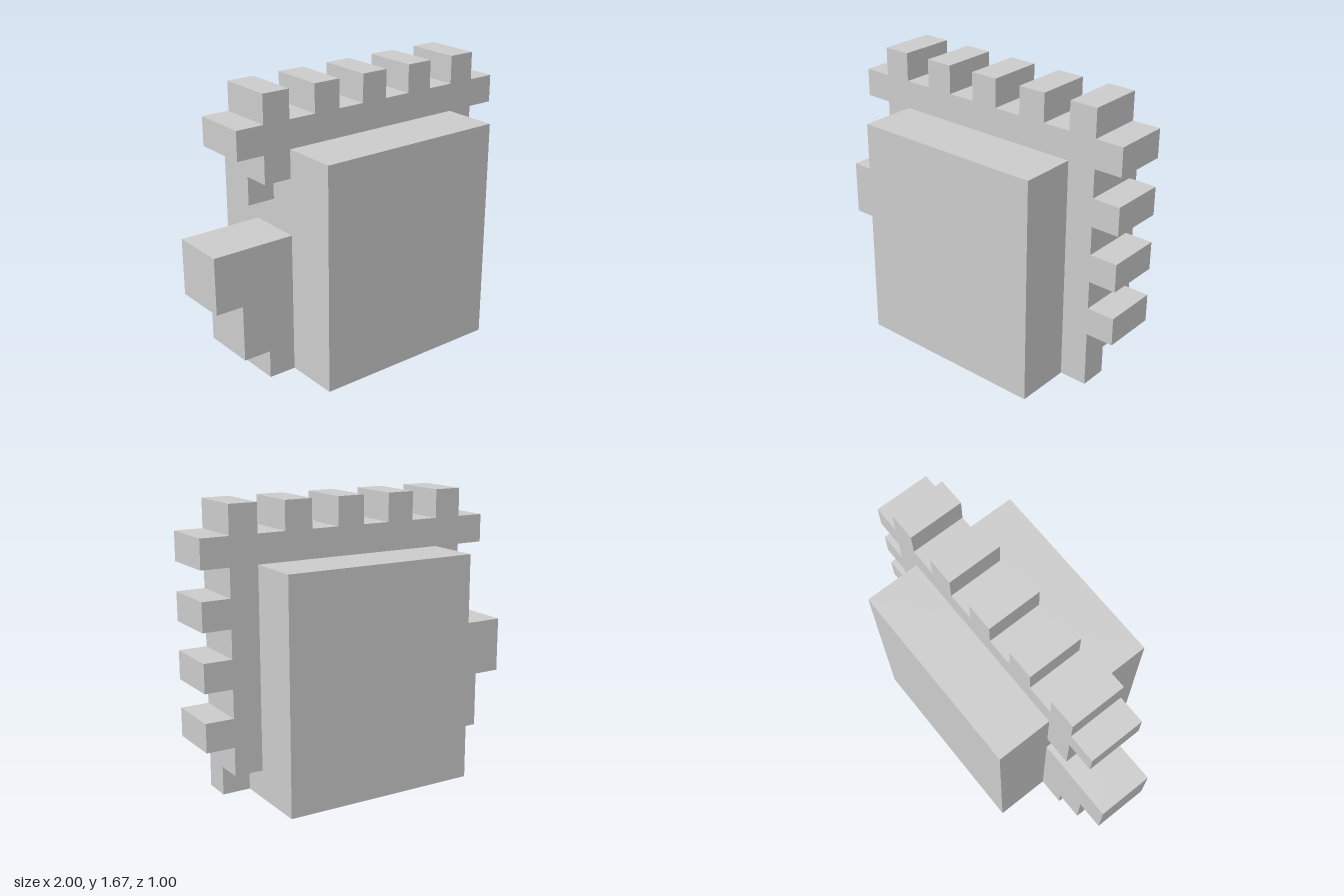
import * as THREE from 'three';

const U = 1 / 6; // one grid cell
const material = new THREE.MeshStandardMaterial({ color: 0xcccccc, flatShading: true });

// Box given by its corner ranges in grid cells
function box(name, [x0, x1], [y0, y1], [z0, z1]) {
  const geometry = new THREE.BoxGeometry((x1 - x0) * U, (y1 - y0) * U, (z1 - z0) * U);
  geometry.translate((x0 + x1) / 2 * U, (y0 + y1) / 2 * U, (z0 + z1) / 2 * U);
  const mesh = new THREE.Mesh(geometry, material);
  mesh.name = name;
  return mesh;
}

// Outline in grid cells, extruded over the full thickness of the slab
function slab(name, points) {
  const shape = new THREE.Shape(points.map(([x, y]) => new THREE.Vector2(x * U, y * U)));
  const geometry = new THREE.ExtrudeGeometry(shape, { depth: 2 * U, bevelEnabled: false });
  geometry.translate(0, 0, -U);
  const mesh = new THREE.Mesh(geometry, material);
  mesh.name = name;
  return mesh;
}

export function createModel() {
  const model = new THREE.Group();
  model.name = 'toothedBlock';

  // Thick central body
  model.add(box('body', [-3, 4], [0, 8], [-3, 3]));

  // Toothed crest running up the left side and over the top
  const crest = [[4, 1], [5, 1]];
  for (let y = 2; y <= 8; y += 2) crest.push([5, y], [6, y], [6, y + 1], [5, y + 1]);
  for (let x = 4; x >= -4; x -= 2) {
    if (x < 4) crest.push([x + 1, 9]);
    crest.push([x + 1, 10], [x, 10], [x, 9]);
  }
  crest.push([-5, 9], [-5, 8], [-4, 8], [-4, 7], [-3, 7], [-3, 8], [4, 8]);
  model.add(slab('crest', crest));

  // Half-thickness ends of the crest
  model.add(box('crestFoot', [4, 5], [0, 1], [0, 1]));
  model.add(box('crestTip', [-4, -3], [6, 7], [-1, 0]));

  // Stepped projection on the right side
  model.add(slab('steppedSide', [
    [-3, 0], [-3, 5], [-6, 5], [-6, 3], [-5, 3], [-5, 1], [-4, 1], [-4, 0],
  ]));

  return model;
}
